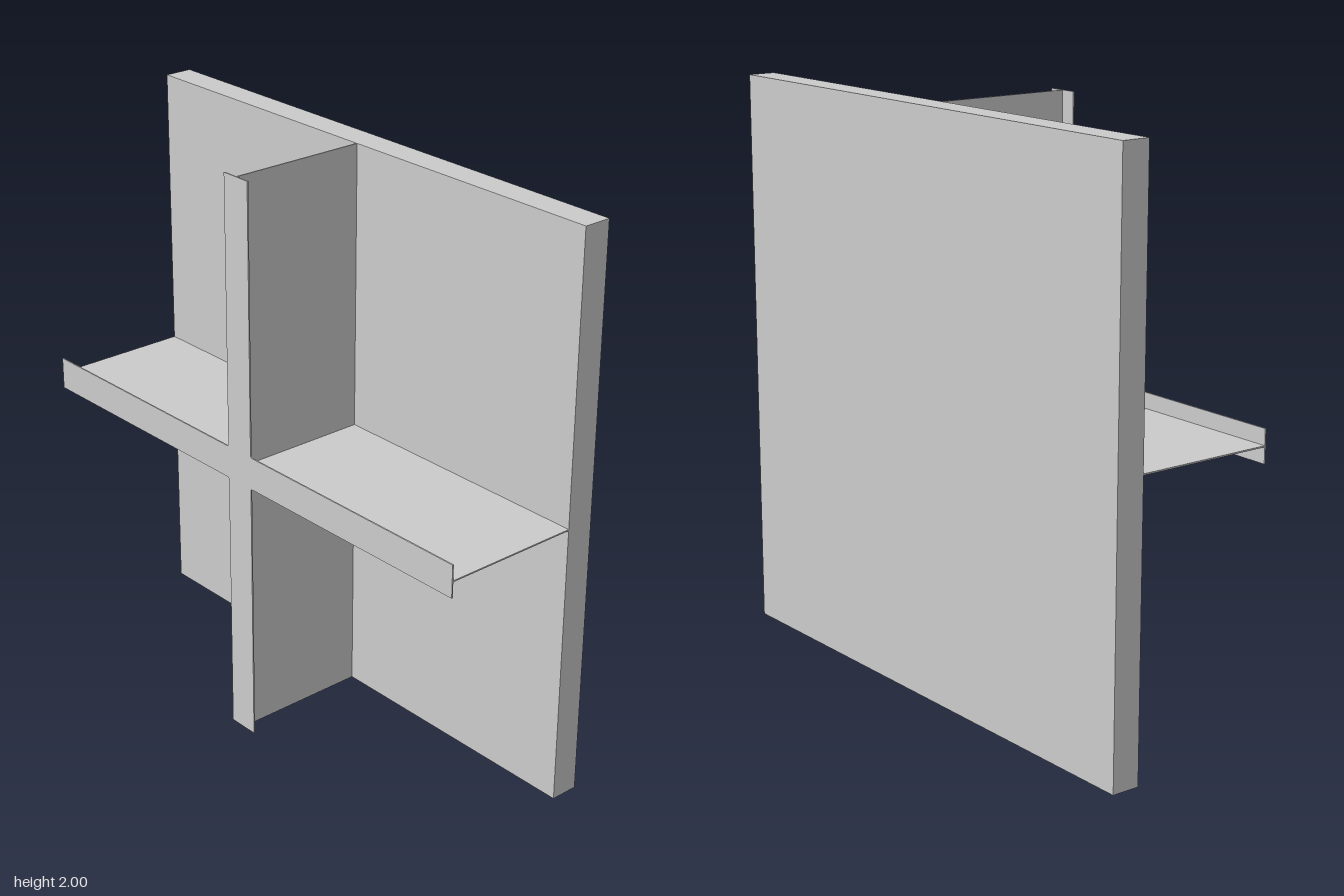
import * as THREE from 'three';

const PLATE_FRONT = -0.2, FRONT = 0.3, BACK = -0.3;
const THIN = 0.005;        // sheet thickness of webs and flange
const HALF_FLANGE = 0.057; // half width of the flange strips
const FILLET = 0.008;      // rounding in the inner corners of the cross

// Cross outline, one inner corner per quadrant
function crossShape() {
  const shape = new THREE.Shape();
  const a = HALF_FLANGE, b = a + FILLET;
  for (let i = 0; i < 4; i++) {
    const c = Math.round(Math.cos(i * Math.PI / 2)), s = Math.round(Math.sin(i * Math.PI / 2));
    const at = (x, y) => [x * c - y * s, x * s + y * c];
    if (i === 0) shape.moveTo(...at(1, -a));
    else shape.lineTo(...at(1, -a));
    shape.lineTo(...at(1, a));
    shape.lineTo(...at(b, a));
    shape.quadraticCurveTo(...at(a, a), ...at(a, b));
  }
  shape.closePath();
  return shape;
}

export function createModel() {
  const group = new THREE.Group();
  const material = new THREE.MeshStandardMaterial({ color: 0xcccccc });

  const add = (name, geometry, x, y, z) => {
    const mesh = new THREE.Mesh(geometry, material);
    mesh.name = name;
    mesh.position.set(x, y, z);
    group.add(mesh);
  };

  // Thick square panel at the back
  add('backPanel', new THREE.BoxGeometry(2, 2, PLATE_FRONT - BACK), 0, 1, (PLATE_FRONT + BACK) / 2);

  // Thin webs standing out from the panel
  const depth = FRONT - THIN - PLATE_FRONT;
  const webZ = PLATE_FRONT + depth / 2;
  add('verticalWeb', new THREE.BoxGeometry(THIN, 2, depth), 0, 1, webZ);
  for (const side of [1, -1]) {
    const length = 1 - THIN / 2;
    add(side > 0 ? 'leftWeb' : 'rightWeb', new THREE.BoxGeometry(length, THIN, depth),
      side * (1 + THIN / 2) / 2, 1, webZ);
  }

  // Cross-shaped flange capping the webs
  add('crossFlange', new THREE.ExtrudeGeometry(crossShape(),
    { depth: THIN, bevelEnabled: false, curveSegments: 4 }), 0, 1, FRONT - THIN);

  return group;
}
